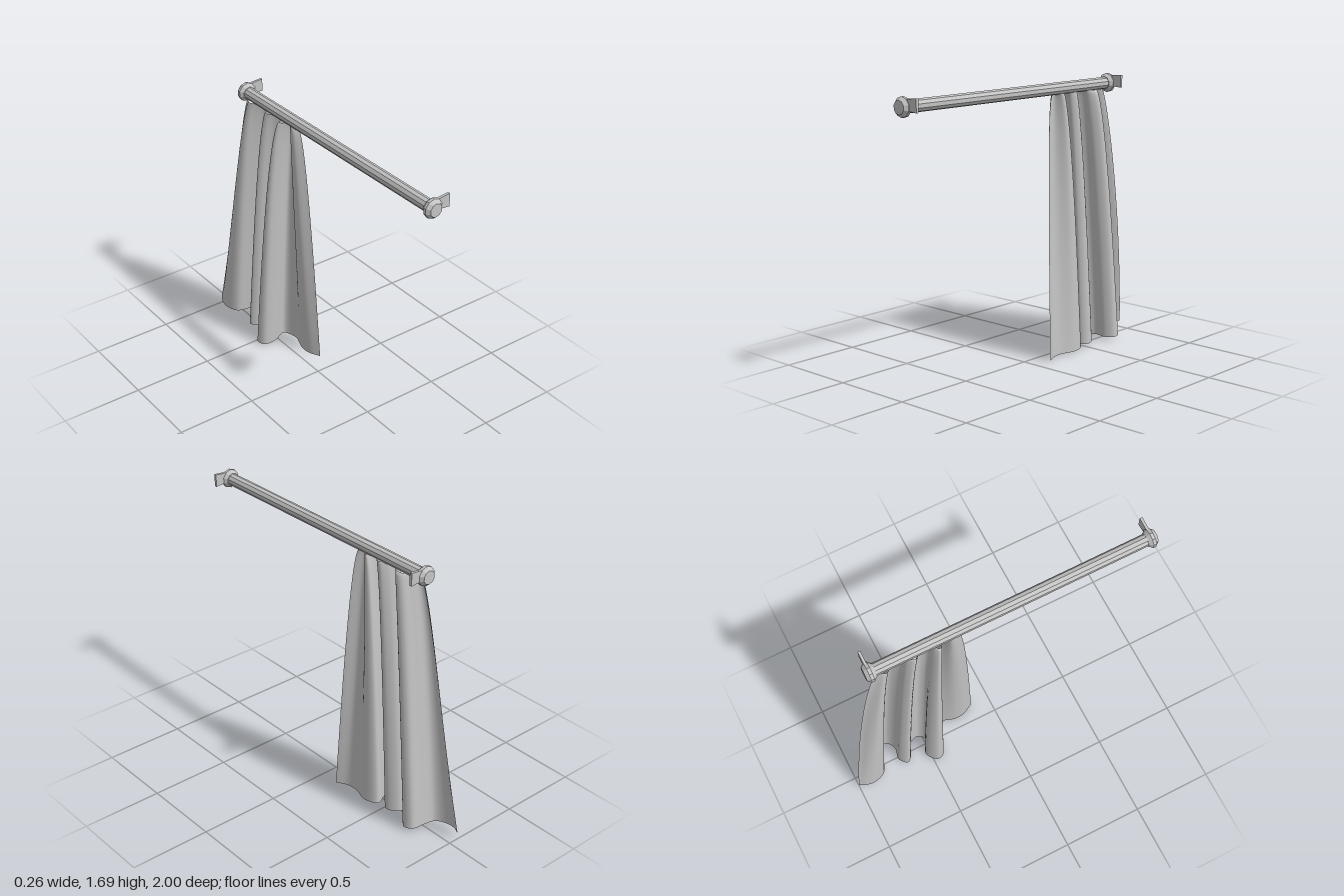
import * as THREE from 'three';

const ROD_X = 0.017, ROD_Y = 1.633;

// Faceted copy of a geometry
function faceted(geometry) {
  const g = geometry.toNonIndexed();
  g.computeVertexNormals();
  return g;
}

// Cloth sheet blended between a gathered top edge and a wide wavy hem
function curtainGeometry() {
  // [hem x, hem z, top x, top z, x blend power] along the cloth, front edge to back edge
  const folds = [
    [0.105, -0.12, 0.025, -0.235, 0.9], [0.07, -0.19, -0.005, -0.25, 1.4],
    [0.065, -0.26, -0.005, -0.265, 1.2], [0.095, -0.37, 0.035, -0.28, 0.5],
    [0.06, -0.455, 0.045, -0.302, 0.5], [-0.03, -0.42, 0.01, -0.317, 0.5],
    [-0.11, -0.425, -0.02, -0.33, 0.48], [-0.13, -0.475, -0.025, -0.345, 0.48],
    [-0.06, -0.53, -0.005, -0.36, 0.5], [0.03, -0.49, 0.035, -0.375, 0.4],
    [0.065, -0.53, 0.045, -0.41, 0.35], [0.03, -0.6, 0.02, -0.445, 0.5],
    [-0.04, -0.625, -0.015, -0.47, 0.45], [-0.065, -0.655, -0.02, -0.49, 0.45],
    [-0.02, -0.7, 0.0, -0.512, 0.5], [0.06, -0.69, 0.035, -0.53, 0.35],
    [0.113, -0.73, 0.05, -0.565, 0.3], [0.095, -0.785, 0.045, -0.6, 0.35],
    [0.02, -0.8, 0.015, -0.625, 0.5], [-0.055, -0.82, -0.015, -0.645, 0.5],
    [-0.088, -0.89, -0.02, -0.665, 0.6], [-0.085, -0.95, -0.008, -0.685, 1.2],
    [-0.062, -1.0, 0.003, -0.708, 2.5],
  ];
  const hem = new THREE.CatmullRomCurve3(folds.map(([x, z]) => new THREE.Vector3(x, 0, z)));
  const top = new THREE.CatmullRomCurve3(folds.map(([, , x, z]) => new THREE.Vector3(x, 1.603, z)));
  const powers = new THREE.SplineCurve(folds.map(([, , , , p], i) => new THREE.Vector2(i, p)));
  const g = new THREE.PlaneGeometry(1, 1, 132, 32);
  const pos = g.attributes.position;
  for (let i = 0; i < pos.count; i++) {
    const u = THREE.MathUtils.clamp(pos.getX(i) + 0.5, 0, 1);
    const v = Math.pow(THREE.MathUtils.clamp(0.5 - pos.getY(i), 0, 1), 1.6);
    const a = top.getPoint(u), b = hem.getPoint(u);
    const hemY = 0.04 * Math.pow(Math.max(0, (-b.z - 0.12) / 0.88), 1.5);
    // The front edge flares early, the inner folds spread steadily
    const zPower = 0.72 - 0.36 * Math.pow(1 - u, 6);
    pos.setXYZ(i,
      THREE.MathUtils.lerp(a.x, b.x, Math.pow(v, powers.getPoint(u).y)),
      THREE.MathUtils.lerp(a.y, hemY, v),
      THREE.MathUtils.lerp(a.z, b.z, Math.pow(v, zPower)));
  }
  g.computeVertexNormals();
  return g;
}

export function createModel() {
  const group = new THREE.Group();
  const grey = new THREE.MeshStandardMaterial({ color: 0xc4c4c4, side: THREE.DoubleSide });
  grey.name = 'grey';

  const add = (name, geometry, x, y, z) => {
    const mesh = new THREE.Mesh(geometry, grey);
    mesh.name = name;
    mesh.position.set(x, y, z);
    group.add(mesh);
  };

  // Rod running front to back
  const rod = new THREE.CylinderGeometry(0.037, 0.037, 1.76, 10);
  rod.rotateX(Math.PI / 2);
  add('rod', faceted(rod), ROD_X, ROD_Y, 0.115);

  // Collared end caps with wall brackets
  const profile = [[0, -0.03], [0.04, -0.03], [0.044, -0.024], [0.058, -0.009],
    [0.058, 0.009], [0.044, 0.024], [0.04, 0.03], [0, 0.03]].map(p => new THREE.Vector2(...p));
  for (const [label, z] of [['front', 0.97], ['back', -0.742]]) {
    const cap = new THREE.LatheGeometry(profile, 10);
    cap.rotateX(Math.PI / 2);
    add(label + 'EndCap', faceted(cap), ROD_X, ROD_Y, z);

    // Bracket plate flares slightly towards the wall
    const plate = new THREE.BoxGeometry(0.1, 0.078, 0.016);
    const pos = plate.attributes.position;
    for (let i = 0; i < pos.count; i++) if (pos.getX(i) < 0) pos.setY(i, pos.getY(i) * 0.75);
    plate.computeVertexNormals();
    add(label + 'Bracket', plate, 0.077, 1.648, z - 0.002);
  }

  add('curtain', curtainGeometry(), 0, 0, 0);
  return group;
}
